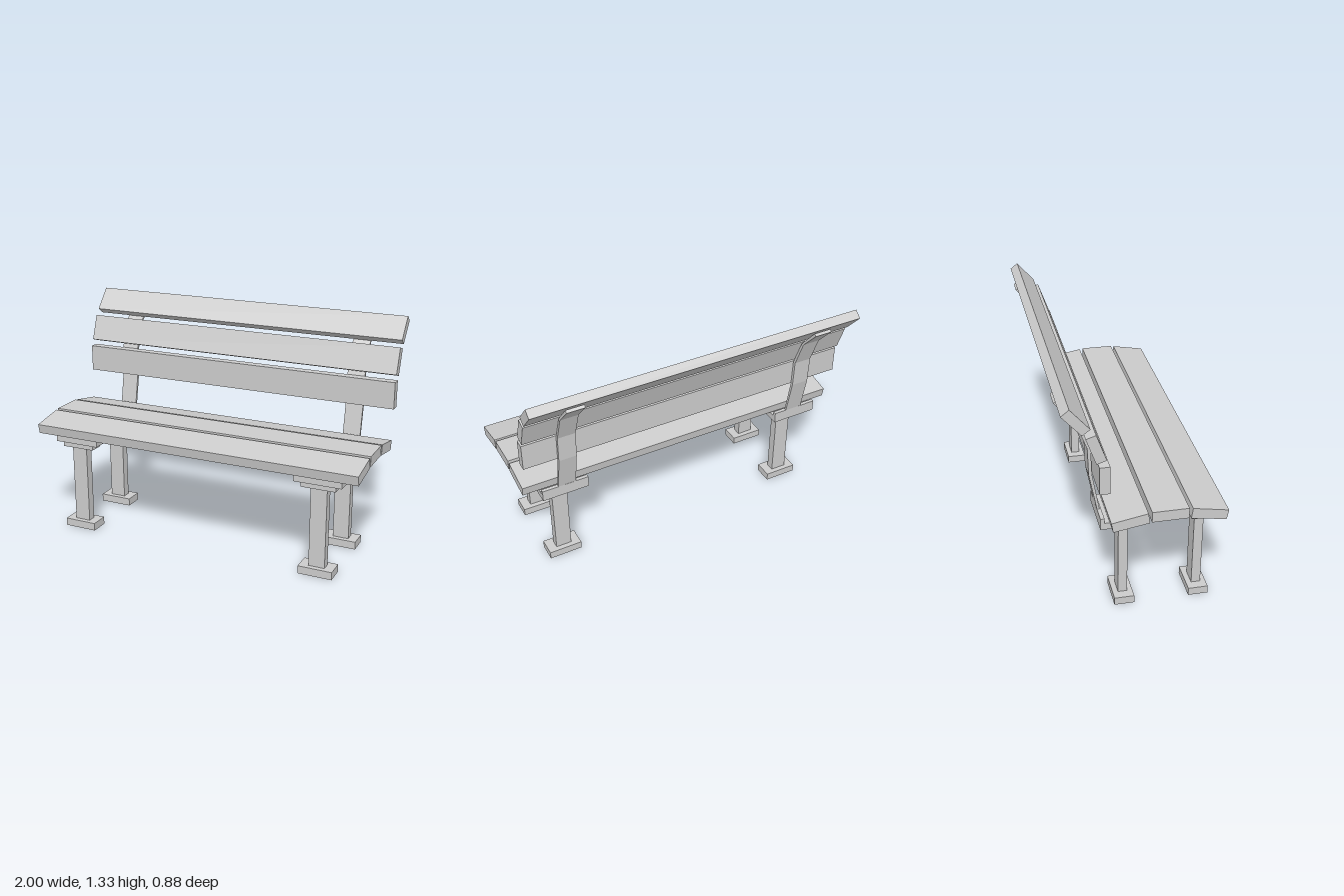
import * as THREE from 'three';

const material = new THREE.MeshStandardMaterial({ color: 0xcccccc, flatShading: true });

// Side profile of [z, y] points, extruded along x and centred on x.
function profile(name, points, width, x = 0) {
  const shape = new THREE.Shape(points.map(([z, y]) => new THREE.Vector2(-z, y)));
  const geometry = new THREE.ExtrudeGeometry(shape, { depth: width, bevelEnabled: false });
  geometry.translate(0, 0, -width / 2).rotateY(Math.PI / 2);
  const mesh = new THREE.Mesh(geometry, material);
  mesh.name = name;
  mesh.position.x = x;
  return mesh;
}

// Box given by its width in x and its z and y ranges.
function block(name, x, width, z0, z1, y0, y1) {
  const mesh = new THREE.Mesh(new THREE.BoxGeometry(width, y1 - y0, z1 - z0), material);
  mesh.name = name;
  mesh.position.set(x, (y0 + y1) / 2, (z0 + z1) / 2);
  return mesh;
}

// Foot, post and the step under the seat plate.
function createLeg(name, x, z) {
  const leg = new THREE.Group();
  leg.name = name;
  leg.add(
    block('foot', x, 0.2, z - 0.056, z + 0.056, 0, 0.046),
    block('post', x, 0.095, z - 0.026, z + 0.026, 0.046, 0.516),
    block('step', x, 0.2, z - 0.042, z + 0.042, 0.516, 0.547),
  );
  return leg;
}

export function createModel() {
  const bench = new THREE.Group();
  bench.name = 'bench';

  // Seat: flat middle slat between two tilted ones
  bench.add(
    profile('frontSeatSlat', [[0.441, 0.65], [0.246, 0.686], [0.238, 0.626], [0.43, 0.594]], 2),
    block('middleSeatSlat', 0, 2, 0.029, 0.227, 0.629, 0.69),
    profile('rearSeatSlat', [[0.01, 0.686], [-0.185, 0.65], [-0.175, 0.594], [0.018, 0.626]], 2),
  );

  // Backrest: three slats leaning further back with height
  bench.add(
    block('lowerBackSlat', 0, 2, -0.245, -0.19, 0.834, 0.992),
    profile('middleBackSlat', [[-0.26, 1.18], [-0.313, 1.163], [-0.26, 1.014], [-0.207, 1.032]], 2),
    profile('upperBackSlat', [[-0.39, 1.334], [-0.433, 1.3], [-0.33, 1.184], [-0.288, 1.216]], 2),
  );

  for (const side of [-1, 1]) {
    const x = side * 0.761;
    const frame = new THREE.Group();
    frame.name = side > 0 ? 'leftFrame' : 'rightFrame';
    frame.add(createLeg('frontLeg', x, 0.341), createLeg('rearLeg', x, -0.081));

    // Plates that carry the slats, the rear one with a lip for the back strap
    frame.add(
      profile('frontPlate', [[0.398, 0.547], [0.398, 0.598], [0.272, 0.62], [0.272, 0.547]], 0.277, x),
      profile('rearPlate', [
        [-0.013, 0.547], [-0.013, 0.62], [-0.14, 0.586], [-0.2, 0.586],
        [-0.2, 0.614], [-0.222, 0.614], [-0.222, 0.547],
      ], 0.277, x),
      block('seatStrap', side * 0.758, 0.063, -0.013, 0.272, 0.61, 0.618),
    );

    // Bent strap that holds the back slats
    frame.add(profile('backStrap', [
      [-0.205, 0.6], [-0.247, 0.834], [-0.252, 0.99], [-0.316, 1.155], [-0.424, 1.282],
      [-0.437, 1.27], [-0.333, 1.155], [-0.27, 0.99], [-0.264, 0.83], [-0.219, 0.6],
    ], 0.105, side * 0.751));
    bench.add(frame);
  }
  return bench;
}
